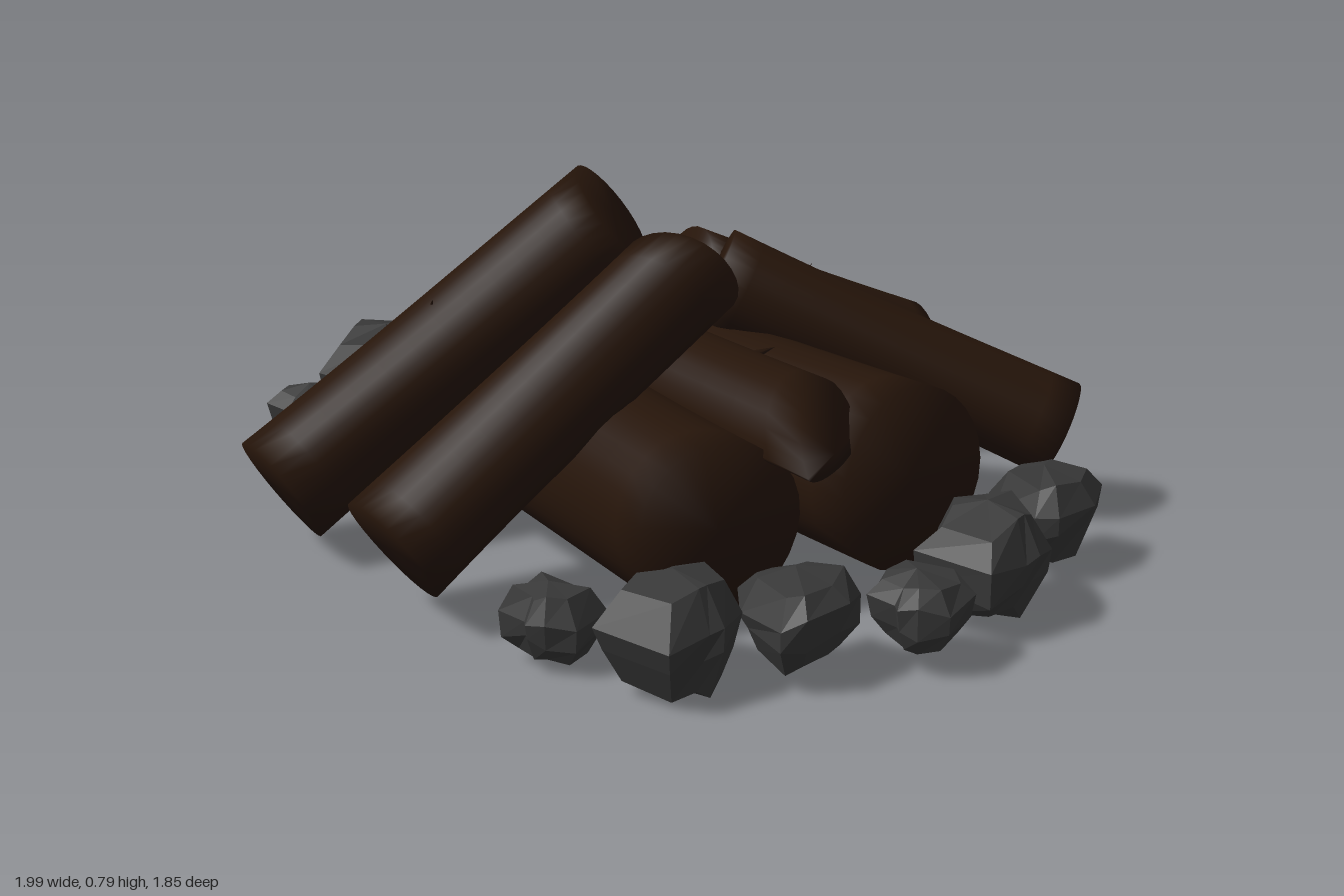
import * as THREE from 'three';
import { mergeVertices } from 'three/addons/utils/BufferGeometryUtils.js';

const V = (a) => new THREE.Vector3(...a);
const UP = new THREE.Vector3(0, 1, 0);
const wood = new THREE.MeshStandardMaterial({ color: 0x26150a });
const rock = new THREE.MeshStandardMaterial({ color: 0x383838, flatShading: true });

// Small repeatable noise in 0..1
const noise = (n) => { const s = Math.sin(n * 127.1) * 43758.5453; return s - Math.floor(s); };

// Place a y-aligned mesh between two points, its local x level and local z upward
function span(mesh, a, b) {
  const dir = b.clone().sub(a).normalize();
  const side = dir.clone().cross(UP).normalize();
  const basis = new THREE.Matrix4().makeBasis(side, dir, side.clone().cross(dir));
  mesh.quaternion.setFromRotationMatrix(basis);
  mesh.position.copy(a).add(b).multiplyScalar(0.5);
  return mesh;
}

// Log from a to b; saw cuts may slant (cutFrom, cutTo: normals), split flattens the underside towards b
function makeLog({ name, from, to, r, cutFrom, cutTo, split = 0 }, seed) {
  const a = V(from), b = V(to), len = a.distanceTo(b);
  let geo = new THREE.CylinderGeometry(r[1], r[0], len, 28, 12);
  geo.deleteAttribute('uv');
  geo.deleteAttribute('normal');
  geo = mergeVertices(geo);
  const mesh = span(new THREE.Mesh(geo, wood), a, b);
  mesh.name = name;

  const toLocal = mesh.quaternion.clone().invert();
  const slant = (cut, x, z) => {
    if (!cut) return 0;
    const n = V(cut).applyQuaternion(toLocal);
    return -(n.x * x + n.z * z) / n.y;
  };
  const p = geo.attributes.position;
  for (let i = 0; i < p.count; i++) {
    const t = p.getY(i) / len + 0.5, ang = Math.atan2(p.getZ(i), p.getX(i));
    const k = 1 - 0.04 * Math.sin(Math.PI * t) + 0.02 * Math.sin(3 * ang + 4 * t + seed);
    const x = p.getX(i) * k;
    const z = p.getZ(i) * k * (p.getZ(i) < 0 ? 1 - split * t : 1);
    const y = p.getY(i) + slant(cutTo, x, z) * t ** 4 + slant(cutFrom, x, z) * (1 - t) ** 4;
    p.setXYZ(i, x, y, z);
  }
  geo.computeVertexNormals();
  return mesh;
}

// Thin bark splinter
function makeSplinter(from, to) {
  const a = V(from), b = V(to);
  const mesh = span(new THREE.Mesh(new THREE.ConeGeometry(0.014, a.distanceTo(b), 5), wood), a, b);
  mesh.name = 'barkSplinter';
  return mesh;
}

// Stone outlines seen from above, as x, z offsets
const outlines = {
  big: [[-0.07, -0.16], [0.02, -0.17], [0.12, -0.06], [0.12, 0.04], [0.10, 0.07], [0.05, 0.16], [-0.13, 0.12], [-0.11, 0.03], [-0.13, -0.06]],
  medium: [[-0.02, -0.13], [0.10, -0.10], [0.11, 0], [0.06, 0.115], [0.01, 0.13], [-0.10, 0.065], [-0.13, 0], [-0.11, -0.075], [-0.035, -0.085]],
  small: [[-0.07, -0.09], [0.075, -0.085], [0.105, -0.05], [0.085, 0.065], [0.025, 0.09], [-0.02, 0.085], [-0.035, 0.055], [-0.10, 0.04], [-0.10, -0.005]],
};

// Stone: jittered rings of one outline, closed by a point below and above
function makeStone(kind, x, z, y0, y1, seed) {
  const pts = outlines[kind], n = pts.length, h = y1 - y0;
  const rings = [[0.1, 0.68], [0.36, 0.95], [0.62, 1], [0.88, 0.72]];
  const pos = [0, 0, 0], index = [];
  rings.forEach(([t, s], r) => pts.forEach(([px, pz], i) => {
    const q = seed * 7 + r * 13 + i;
    const k = s * (r === 2 ? 1 : 0.86 + 0.2 * noise(q));
    pos.push(px * k, h * (t + 0.18 * (noise(q + 0.5) - 0.5)), pz * k);
  }));
  pos.push(-0.01, h * 0.97, -0.01);
  const top = 1 + rings.length * n;
  for (let i = 0; i < n; i++) {
    const j = (i + 1) % n;
    index.push(0, 1 + i, 1 + j);
    for (let r = 0; r < rings.length - 1; r++) {
      const a = 1 + r * n + i, b = 1 + r * n + j;
      index.push(a, a + n, b, b, a + n, b + n);
    }
    index.push(top, top - n + j, top - n + i);
  }
  const geo = new THREE.BufferGeometry();
  geo.setAttribute('position', new THREE.Float32BufferAttribute(pos, 3));
  geo.setIndex(index);
  geo.computeVertexNormals();
  const mesh = new THREE.Mesh(geo, rock);
  mesh.position.set(x, y0, z);
  mesh.name = kind + 'Stone';
  return mesh;
}

export function createModel() {
  const model = new THREE.Group();
  model.name = 'campfire';

  // Log pile: two thick base logs, a half-split one across them, four leaning
  const logs = new THREE.Group();
  logs.name = 'logs';
  [
    { name: 'baseLogBack', from: [-0.43, 0.25, -0.49], to: [0.65, 0.255, 0.09], r: [0.2, 0.205] },
    { name: 'baseLogFront', from: [-0.60, 0.245, -0.27], to: [0.355, 0.23, 0.475], r: [0.205, 0.195] },
    { name: 'crossLog', from: [-0.55, 0.365, -0.43], to: [0.55, 0.375, 0.32], r: [0.14, 0.135], cutTo: [0.88, 0.42, 0], split: 0.8 },
    { name: 'leaningLogFrontRight', from: [-0.70, 0.16, 0.43], to: [-0.175, 0.685, -0.22], r: [0.135, 0.13], cutTo: [0.75, 0.62, -0.25] },
    { name: 'leaningLogFrontLeft', from: [-0.29, 0.17, 0.69], to: [0.12, 0.655, 0.11], r: [0.135, 0.125], cutTo: [0.05, 0.48, -0.88] },
    { name: 'leaningLogBack', from: [0.40, 0.23, -0.83], to: [-0.05, 0.52, -0.36], r: [0.11, 0.11], cutFrom: [0.62, 0.2, -0.6] },
    { name: 'leaningLogBackLeft', from: [0.82, 0.2, -0.49], to: [0.07, 0.56, -0.24], r: [0.115, 0.11] },
  ].forEach((log, i) => logs.add(makeLog(log, i * 1.7)));
  [
    [[-0.31, 0.09, -0.05], [-0.34, 0.01, -0.05]],
    [[0.16, 0.44, -0.55], [0.18, 0.50, -0.60]],
    [[0.27, 0.48, 0.08], [0.32, 0.50, 0.05]],
    [[-0.47, 0.50, 0.13], [-0.45, 0.55, 0.16]],
  ].forEach((s) => logs.add(makeSplinter(...s)));
  model.add(logs);

  // Two arcs of stones around the pile: kind, x, z, bottom, top
  const stones = new THREE.Group();
  stones.name = 'stones';
  [
    ['small', -0.89, -0.07, 0.06, 0.23],
    ['big', -0.82, -0.34, 0.05, 0.31],
    ['medium', -0.62, -0.54, 0.05, 0.26],
    ['small', -0.46, -0.68, 0.06, 0.22],
    ['medium', -0.27, -0.79, 0.05, 0.25],
    ['big', -0.01, -0.76, 0.04, 0.28],
    ['medium', 0.885, -0.15, 0.03, 0.24],
    ['big', 0.85, 0.18, 0.01, 0.27],
    ['small', 0.785, 0.465, 0.04, 0.21],
    ['medium', 0.575, 0.61, 0.03, 0.24],
    ['big', 0.37, 0.76, 0, 0.26],
    ['small', 0.09, 0.74, 0.01, 0.18],
  ].forEach((s, i) => stones.add(makeStone(...s, i + 1)));
  model.add(stones);

  return model;
}
